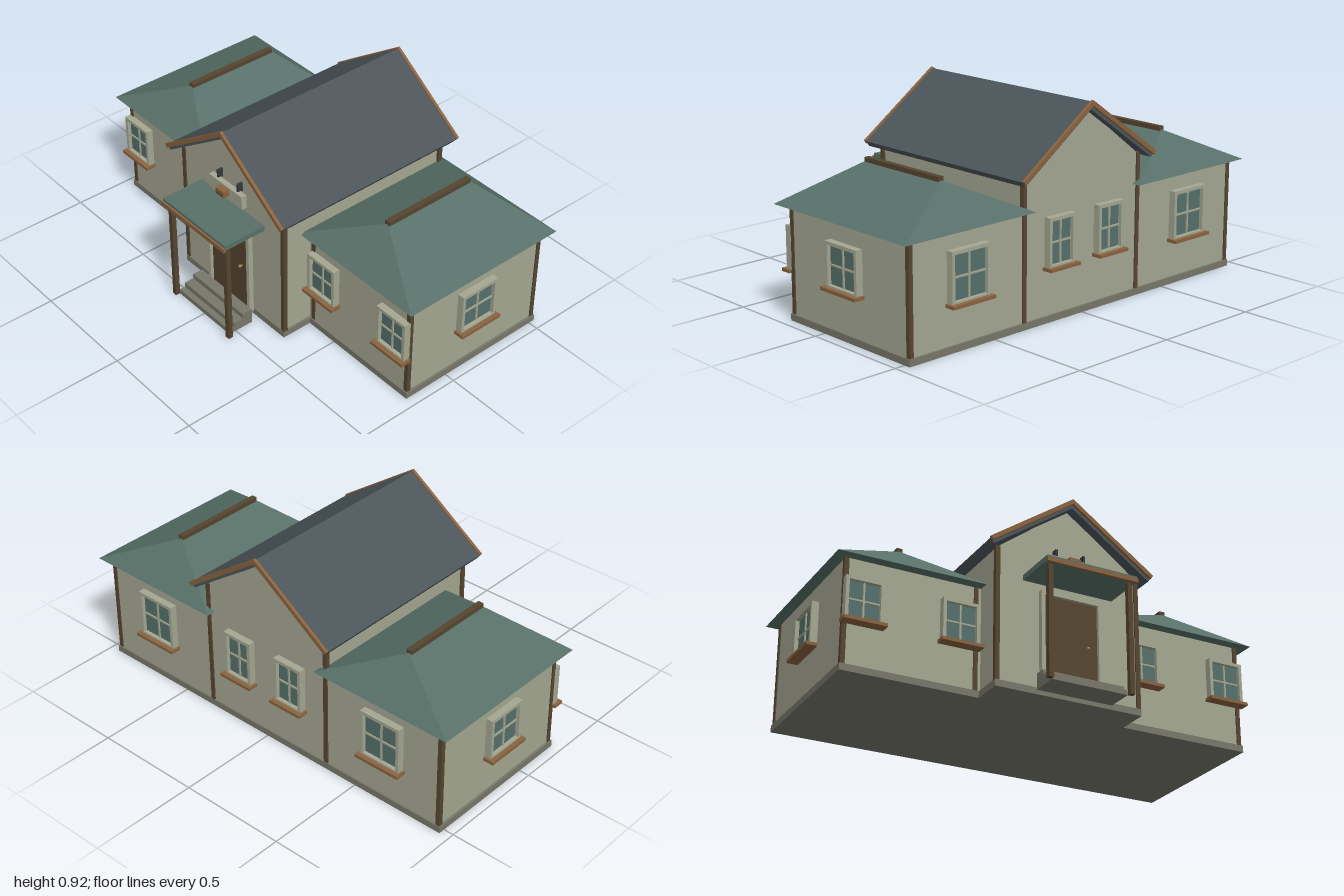
import * as THREE from 'three';

const mat = (name, color) => {
  const m = new THREE.MeshStandardMaterial({ color });
  m.name = name;
  return m;
};

export function createModel() {
  const plaster = mat('plaster', 0xa5a792);
  const stone = mat('stone', 0x77776a);
  const darkWood = mat('darkWood', 0x564530);
  const lightWood = mat('lightWood', 0x8a633f);
  const greenRoof = mat('greenRoof', 0x587069);
  const slate = mat('slate', 0x4c555a);
  const glass = mat('glass', 0x55706b);
  const metal = mat('metal', 0x34393c);
  const brass = mat('brass', 0xa8884a);

  const model = new THREE.Group();
  model.name = 'house';

  const add = (parent, name, geometry, material) => {
    const m = new THREE.Mesh(geometry, material);
    m.name = name;
    parent.add(m);
    return m;
  };
  // box given by its minimum and maximum on each axis
  const box = (parent, name, material, x0, x1, y0, y1, z0, z1) => {
    const m = add(parent, name, new THREE.BoxGeometry(x1 - x0, y1 - y0, z1 - z0), material);
    m.position.set((x0 + x1) / 2, (y0 + y1) / 2, (z0 + z1) / 2);
    return m;
  };
  // profile in x, y drawn out along z
  const prism = (parent, name, material, points, z0, z1) => {
    const shape = new THREE.Shape(points.map(([x, y]) => new THREE.Vector2(x, y)));
    const g = new THREE.ExtrudeGeometry(shape, { depth: z1 - z0, bevelEnabled: false });
    return add(parent, name, g.translate(0, 0, z0), material);
  };

  // four-pane window facing +z, its wall at z = 0, its sill top at y = 0
  const addWindow = (name, w, h, x, y, z, turn = 0) => {
    const g = new THREE.Group();
    g.name = name;
    const a = w / 2, b = 0.015;
    box(g, 'glass', glass, -a + b, a - b, b / 2, h - b, 0.002, 0.014);
    for (const s of [-1, 1]) {
      box(g, 'frameSide', plaster, s * (a - b / 2) - b / 2, s * (a - b / 2) + b / 2, 0, h, 0, 0.032);
    }
    box(g, 'frameTop', plaster, -a + b, a - b, h - b, h, 0, 0.032);
    box(g, 'frameBottom', plaster, -a + b, a - b, 0, b / 2, 0, 0.032);
    box(g, 'verticalBar', plaster, -0.004, 0.004, b / 2, h - b, 0.014, 0.02);
    box(g, 'horizontalBar', plaster, -a + b, a - b, h / 2 - 0.008, h / 2, 0.014, 0.0195);
    box(g, 'sill', lightWood, -a - 0.011, a + 0.011, -0.014, 0, 0.002, 0.052);
    g.position.set(x, y, z);
    g.rotation.y = turn;
    model.add(g);
  };

  // central hall with gable ends
  box(model, 'hallPlinth', stone, -0.342, 0.342, 0, 0.03, -0.53, 0.37);
  prism(model, 'hallWalls', plaster,
    [[-0.332, 0.03], [0.332, 0.03], [0.332, 0.633], [0, 0.885], [-0.332, 0.633]], -0.522, 0.362);

  // roof slabs and barge boards share a chevron profile
  const chevron = (halfWidth, top, thick) => {
    const k = 0.7, e = top - k * halfWidth;
    const dx = thick * 0.573, dy = thick * 0.819;
    const inner = top - thick * 1.22;
    return [[0, top], [-halfWidth, e], [-halfWidth + dx, e - dy], [0, inner],
      [halfWidth - dx, e - dy], [halfWidth, e]];
  };
  prism(model, 'hallRoof', slate, chevron(0.388, 0.91, 0.028), -0.565, 0.408);
  for (const z of [-0.579, 0.406]) {
    prism(model, 'bargeBoard', lightWood, chevron(0.391, 0.916, 0.019), z, z + 0.014);
  }

  // hipped roof from its eave rectangle and ridge, one quad or triangle per face
  const hipRoof = () => {
    const a = [-0.345, 0.5, 0.263], b = [0.345, 0.5, 0.263];
    const c = [0.345, 0.5, -0.563], d = [-0.345, 0.5, -0.563];
    const f = [0, 0.66, 0.077], r = [0, 0.66, -0.377];
    const tris = [a, b, f, b, c, r, b, r, f, c, d, r, d, a, f, d, f, r, a, d, c, a, c, b];
    const g = new THREE.BufferGeometry();
    g.setAttribute('position', new THREE.Float32BufferAttribute(tris.flat(), 3));
    g.computeVertexNormals();
    return g;
  };

  for (const s of [-1, 1]) {
    // side wing
    const span = (x0, x1) => (s > 0 ? [x0, x1] : [-x1, -x0]);
    box(model, 'wingPlinth', stone, ...span(0.342, 0.953), 0, 0.03, -0.53, 0.224);
    box(model, 'wingWalls', plaster, ...span(0.325, 0.943), 0.03, 0.5, -0.521, 0.214);
    add(model, 'wingRoof', hipRoof(), greenRoof).position.x = s * 0.65;
    box(model, 'ridgeCap', darkWood, ...span(0.637, 0.663), 0.652, 0.674, -0.378, 0.08);

    // corner posts
    const post = (x, z, top) =>
      box(model, 'cornerPost', darkWood, ...span(x - 0.01, x + 0.01), 0.03, top, z - 0.01, z + 0.01);
    post(0.938, 0.209, 0.5);
    post(0.938, -0.516, 0.5);
    post(0.356, 0.209, 0.5);
    post(0.332, 0.358, 0.635);
    post(0.335, -0.518, 0.635);

    // windows
    addWindow('frontWindow', 0.168, 0.187, s * 0.435, 0.22, 0.216);
    addWindow('frontWindow', 0.168, 0.187, s * 0.865, 0.22, 0.216);
    addWindow('sideWindow', 0.197, 0.19, s * 0.947, 0.22, -0.147, s * Math.PI / 2);
    addWindow('rearWingWindow', 0.203, 0.215, s * 0.65, 0.21, -0.522, Math.PI);
    addWindow('rearHallWindow', 0.15, 0.21, s * 0.145, 0.245, -0.523, Math.PI);

    // porch post
    box(model, 'porchPost', darkWood, ...span(0.176, 0.198), 0, 0.5, 0.534, 0.556);
  }

  // porch canopy and steps
  box(model, 'canopy', greenRoof, -0.212, 0.212, 0.503, 0.528, 0.362, 0.572);
  box(model, 'canopyFascia', lightWood, -0.214, 0.214, 0.497, 0.516, 0.568, 0.581);
  [0.535, 0.507, 0.46].forEach((front, i) => {
    box(model, 'step', stone, -0.175, 0.175, i * 0.0235, (i + 1) * 0.0235, 0.41, front);
  });

  // entrance door
  box(model, 'door', darkWood, -0.127, 0.127, 0.03, 0.448, 0.364, 0.382);
  for (const s of [-1, 1]) {
    box(model, 'doorFrameSide', plaster, s * 0.135 - 0.009, s * 0.135 + 0.009, 0.022, 0.462, 0.374, 0.397);
  }
  box(model, 'doorFrameTop', plaster, -0.126, 0.126, 0.446, 0.462, 0.374, 0.397);
  add(model, 'doorKnob', new THREE.SphereGeometry(0.007, 12, 8), brass).position.set(0.078, 0.242, 0.393);
  box(model, 'knobStem', brass, 0.075, 0.081, 0.239, 0.245, 0.38, 0.392);

  // blank sign board with brackets and a small wooden lamp box
  box(model, 'signBoard', plaster, -0.11, 0.11, 0.57, 0.634, 0.374, 0.4);
  for (const x of [-0.066, 0.066]) {
    box(model, 'signBracket', metal, x - 0.005, x + 0.005, 0.63, 0.672, 0.362, 0.388);
  }
  box(model, 'lampBox', lightWood, -0.027, 0.027, 0.594, 0.626, 0.4, 0.43);
  box(model, 'lampBand', darkWood, -0.02, 0.02, 0.602, 0.61, 0.43, 0.433);

  return model;
}
